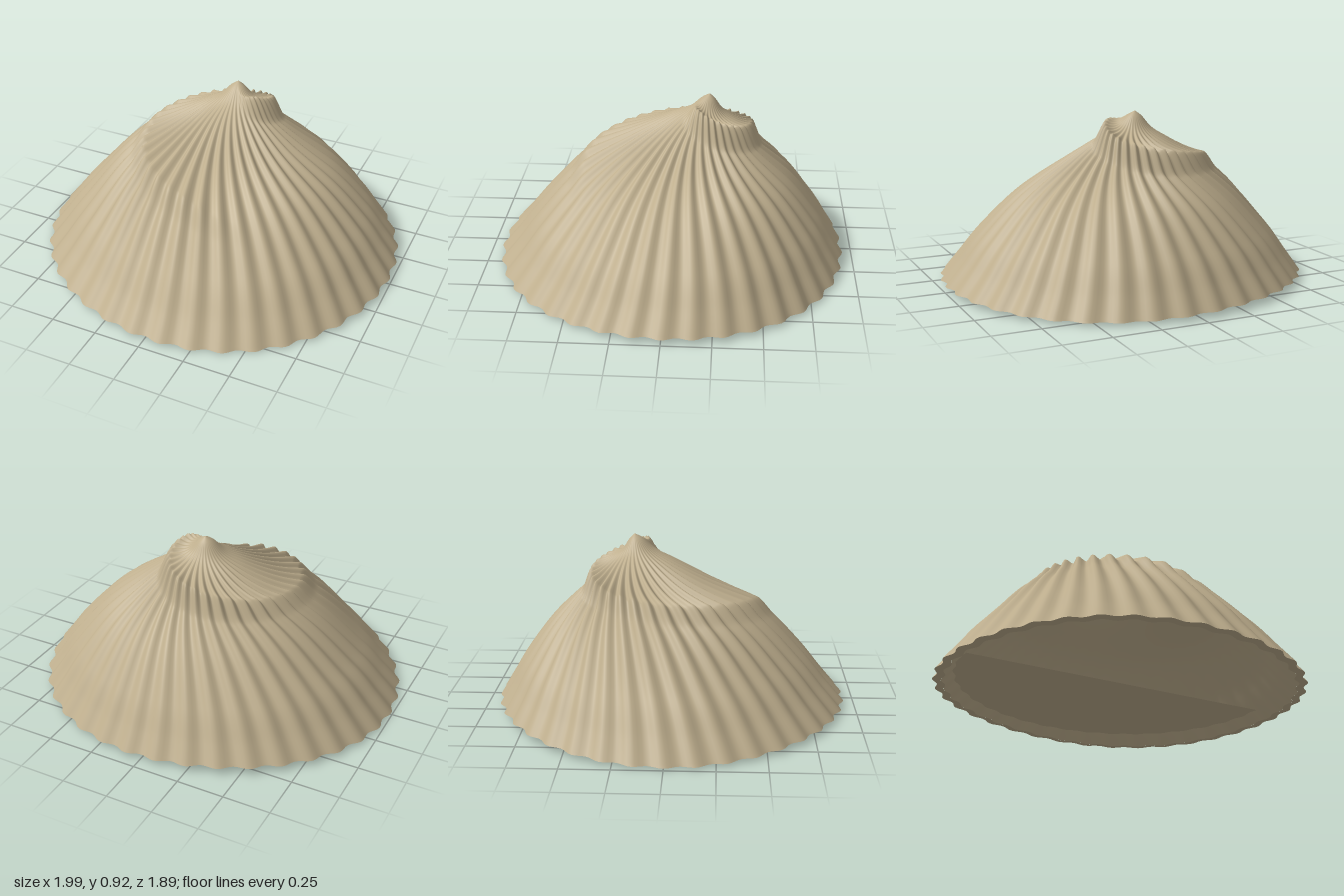
import * as THREE from 'three';

const RIBS = 38, APEX_Z = -0.2, APEX_X = 0.01;
const smooth = THREE.MathUtils.smoothstep;

// Smooth side profile: height against the fraction t from apex to rim
const PROFILE = new THREE.SplineCurve([
  [0, 0.918], [0.04, 0.89], [0.1, 0.825], [0.2, 0.755], [0.35, 0.645],
  [0.6, 0.465], [0.8, 0.265], [0.92, 0.115], [1, 0.015],
].map(([t, y]) => new THREE.Vector2(t, y)));
const SAMPLES = PROFILE.getPoints(400);
function baseHeight(t) {
  let k = 1;
  while (k < SAMPLES.length - 1 && SAMPLES[k].x < t) k++;
  const a = SAMPLES[k - 1], b = SAMPLES[k];
  return a.y + (b.y - a.y) * (t - a.x) / (b.x - a.x);
}

// Spiral shoulder: a raised lip that winds outward from the apex,
// dropping sharply at first and with a longer swelling on the last half turn
function shoulder(angle, t) {
  let sum = 0;
  for (const p of [angle, angle - 2 * Math.PI]) {
    const fade = smooth(p, -1.3, -0.1) * (1 - smooth(p, 4.6, 5.4));
    if (fade === 0) continue;
    const s = 0.155 + 0.089 * p;
    const slow = 0.6 * smooth(p, 1.5, 3.2);
    const shape = t < s
      ? (t / s) ** 2.7
      : (1 - slow) * (1 - smooth(t, s, s + 0.08)) + slow * (1 - smooth(t, s, s + 0.36));
    sum += fade * shape * (0.068 + 0.012 * (1 - smooth(p, 0, 1.2)));
  }
  return sum;
}

// Point on the shell; a is the rib's own angle, which swirls toward the apex
function shellPoint(a, t, ribSize, lipSize) {
  const full = 2 * Math.PI;
  const angle = (((a - 0.5 * (1 - t) ** 2) % full) + full) % full;
  const c = Math.cos(angle), s = -Math.sin(angle);
  const lip = shoulder(angle, t) * lipSize;
  const rib = Math.cos(RIBS * a) * ribSize * smooth(t, 0.02, 0.4) * (1 + 8 * lip);
  const wave = (0.01 * Math.cos(3 * angle) - 0.006 * s) * t ** 3;
  const lean = 0.013 * s * Math.sin(Math.PI * t);
  const round = 1 + 0.011 * Math.sin(2 * angle) * (c - s);
  return new THREE.Vector3(
    APEX_X + t * (0.985 * c * round - APEX_X) + rib * c * (0.35 + 0.65 * t),
    baseHeight(t) + lip + wave + lean + rib * 0.75 * (1 - t ** 4),
    APEX_Z + t * (0.938 * s * round - APEX_Z) + rib * s * (0.35 + 0.65 * t),
  );
}

// Closed ring surface from a rule point(angle, v)
function ringSurface(point, around, along, flip) {
  const pos = [], idx = [];
  for (let j = 0; j <= along; j++)
    for (let i = 0; i < around; i++)
      pos.push(...point((i / around) * 2 * Math.PI, j / along).toArray());
  for (let j = 0; j < along; j++)
    for (let i = 0; i < around; i++) {
      const n = (i + 1) % around;
      const a = j * around + i, b = a + around, c = (j + 1) * around + n, d = j * around + n;
      if (flip) idx.push(a, c, b, a, d, c);
      else idx.push(a, b, c, a, c, d);
    }
  const g = new THREE.BufferGeometry();
  g.setAttribute('position', new THREE.Float32BufferAttribute(pos, 3));
  g.setIndex(idx);
  g.computeVertexNormals();
  return g;
}

export function createModel() {
  const group = new THREE.Group();
  const material = new THREE.MeshStandardMaterial({ color: 0xbfaf8e });
  const thin = new THREE.MeshStandardMaterial({ color: 0xbfaf8e, side: THREE.DoubleSide });
  const add = (name, geometry, mat) => {
    const mesh = new THREE.Mesh(geometry, mat);
    mesh.name = name;
    group.add(mesh);
  };

  // Ribbed outside
  const outer = (a, v) => shellPoint(a, v, 0.011, 1);
  add('outerShell', ringSurface(outer, RIBS * 8, 90, false), material);

  // Smoother lining, set in by the thickness of the wall
  const inner = (a, v) => {
    const p = shellPoint(a, v, 0.011 * v ** 6, 0);
    p.x *= 0.955;
    p.z *= 0.955;
    p.y -= 0.045 * (1 - v ** 6) + 0.004 * v;
    return p;
  };
  add('innerShell', ringSurface(inner, RIBS * 6, 40, true), material);

  // Edge joining outside and lining
  const rim = (a, v) => outer(a, 1).lerp(inner(a, 1), v);
  add('rim', ringSurface(rim, RIBS * 8, 1, false), thin);

  // Flat shelf closing the back half of the opening, fitted to the lining
  const outline = [];
  for (let i = 0; i <= 120; i++) {
    const p = inner(0.02 + (i / 120) * (Math.PI - 0.04), 0.94);
    outline.push(new THREE.Vector2(p.x, -p.z));
  }
  const shelf = new THREE.ShapeGeometry(new THREE.Shape(outline));
  shelf.rotateX(-Math.PI / 2);
  shelf.translate(0, 0.068, 0);
  add('innerShelf', shelf, thin);

  // Stand the shell on the ground, centred
  const box = new THREE.Box3().setFromObject(group);
  const centre = box.getCenter(new THREE.Vector3());
  for (const mesh of group.children) mesh.geometry.translate(-centre.x, -box.min.y, -centre.z);
  return group;
}
